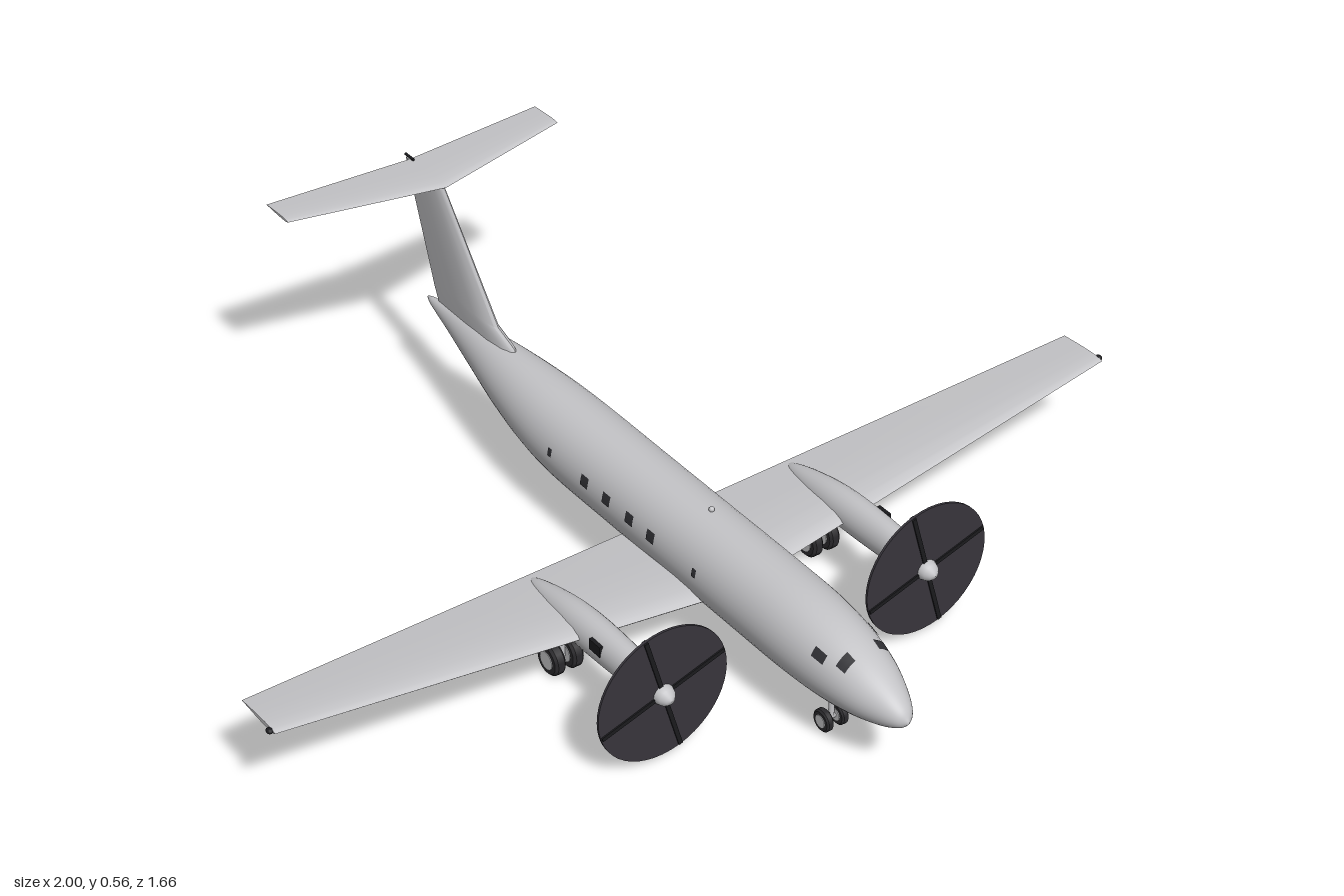
import * as THREE from 'three';
import { toCreasedNormals } from 'three/addons/utils/BufferGeometryUtils.js';

const V = (x, y, z) => new THREE.Vector3(x, y, z);
const mat = (name, color, side = THREE.FrontSide) => {
  const m = new THREE.MeshStandardMaterial({ color, side });
  m.name = name;
  return m;
};

// Closed skin over a row of equal-sized rings, with both ends capped
function loft(rings) {
  const n = rings[0].length, pos = [], idx = [];
  rings.forEach(r => r.forEach(p => pos.push(p.x, p.y, p.z)));
  for (let i = 0; i < rings.length - 1; i++) {
    for (let j = 0; j < n; j++) {
      const a = i * n + j, b = i * n + (j + 1) % n;
      idx.push(a, b, a + n, b, b + n, a + n);
    }
  }
  const last = (rings.length - 1) * n;
  for (let j = 1; j < n - 1; j++) {
    idx.push(0, j + 1, j, last, last + j, last + j + 1);
  }
  // turn the faces outward
  let vol = 0;
  const p = k => V(pos[k * 3], pos[k * 3 + 1], pos[k * 3 + 2]);
  for (let k = 0; k < idx.length; k += 3) vol += p(idx[k]).dot(p(idx[k + 1]).cross(p(idx[k + 2])));
  if (vol < 0) idx.reverse();
  const g = new THREE.BufferGeometry();
  g.setAttribute('position', new THREE.Float32BufferAttribute(pos, 3));
  g.setIndex(idx);
  g.computeVertexNormals();
  return g;
}

// Stations [z, top, bottom, half width] smoothed into many
function smoothStations(table, count) {
  const a = new THREE.CatmullRomCurve3(table.map(s => V(s[0], s[1], s[2])), false, 'catmullrom');
  const b = new THREE.CatmullRomCurve3(table.map(s => V(s[3], 0, 0)), false, 'catmullrom');
  return Array.from({ length: count + 1 }, (_, i) => {
    const p = a.getPoint(i / count);
    return [p.x, p.y, p.z, Math.max(b.getPoint(i / count).x, 0.0005)];
  });
}
const onOval = ([z, top, bot, w], a, grow = 0, x = 0) =>
  V(x + (w + grow) * Math.cos(a), (top + bot) / 2 + ((top - bot) / 2 + grow) * Math.sin(a), z);
const ovalLoft = (stations, sides, x = 0) => loft(stations.map(s =>
  Array.from({ length: sides }, (_, j) => onOval(s, j / sides * Math.PI * 2, 0, x))));

// Aerofoil outline as [chord fraction, thickness fraction]
const UPPER = [[0, 0], [0.03, 0.45], [0.12, 0.85], [0.3, 1], [0.6, 0.72], [1, 0.06]];
const FOIL = [...UPPER, ...UPPER.slice(1).reverse().map(([u, t]) => [u, -t])];
// place(chordZ, thicknessOffset, section) gives a point
const foilLoft = (sections, place) => toCreasedNormals(loft(sections.map(s =>
  FOIL.map(([u, t]) => place(s.le + (s.te - s.le) * u, t * s.h, s)))), 0.6);

export function createModel() {
  const model = new THREE.Group();
  const body = mat('bodyGrey', 0xc4c4c7);
  const rubber = mat('tyreBlack', 0x2b2a2d);
  const disc = mat('propellerDiscGrey', 0x38353c);
  const dark = mat('bladeBlack', 0x1a1a1d);
  const glass = mat('windowDark', 0x303034, THREE.DoubleSide);

  const add = (name, geo, material, x = 0, y = 0, z = 0, parent = model) => {
    const m = new THREE.Mesh(geo, material);
    m.name = name;
    m.position.set(x, y, z);
    parent.add(m);
    return m;
  };

  // Fuselage
  const hull = smoothStations([
    [0.83, 0.168, 0.162, 0.002], [0.815, 0.19, 0.146, 0.022], [0.78, 0.215, 0.13, 0.042],
    [0.72, 0.244, 0.115, 0.064], [0.64, 0.268, 0.104, 0.079], [0.54, 0.281, 0.099, 0.087],
    [0.4, 0.284, 0.098, 0.088], [0.2, 0.284, 0.098, 0.088], [0, 0.284, 0.098, 0.088],
    [-0.2, 0.284, 0.099, 0.088], [-0.32, 0.283, 0.112, 0.081], [-0.44, 0.279, 0.137, 0.064],
    [-0.56, 0.271, 0.17, 0.041], [-0.67, 0.258, 0.204, 0.02], [-0.74, 0.249, 0.228, 0.009],
    [-0.762, 0.243, 0.237, 0.002]], 75);
  add('fuselage', ovalLoft(hull, 40), body);
  const belly = add('bellyFairing', new THREE.SphereGeometry(1, 32, 16), body, 0, 0.14, 0.17);
  belly.scale.set(0.085, 0.05, 0.17);

  // Window panes that follow the skin of the fuselage
  const hullAt = z => {
    const i = Math.max(1, hull.findIndex(s => s[0] <= z));
    const k = (hull[i - 1][0] - z) / (hull[i - 1][0] - hull[i][0]);
    return hull[i].map((v, c) => THREE.MathUtils.lerp(hull[i - 1][c], v, k));
  };
  const pane = (name, z, dz, a, da) => {
    for (const side of [1, -1]) {
      const g = new THREE.PlaneGeometry(1, 1, 3, 3), p = g.attributes.position;
      for (let i = 0; i < p.count; i++) {
        const q = onOval(hullAt(z + p.getX(i) * dz), a + p.getY(i) * da, 0.0015);
        p.setXYZ(i, q.x * side, q.y, q.z);
      }
      g.computeVertexNormals();
      add(name, g, glass);
    }
  };
  for (const z of [0.15, 0.08, 0.003, -0.07]) pane('cabinWindow', z, 0.024, 0.2, 0.26);
  for (const z of [0.29, -0.19]) pane('smallCabinWindow', z, 0.012, 0.2, 0.2);
  pane('windscreenFront', 0.695, 0.022, 0.92, 0.45);
  pane('windscreenSide', 0.645, 0.03, 0.62, 0.25);

  // Wing, tip to tip
  const tip = { le: 0.25, te: 0.135, h: 0.005, y: 0.238 };
  add('wing', foilLoft([{ ...tip, x: -0.99 }, { x: 0, y: 0.132, le: 0.305, te: 0.03, h: 0.018 }, { ...tip, x: 0.99 }],
    (z, t, s) => V(s.x, s.y + t, z)), body);

  // Fin with its dorsal fillet
  add('fin', foilLoft([
    { y: 0.24, le: -0.4, te: -0.715, h: 0.016 }, { y: 0.285, le: -0.44, te: -0.735, h: 0.015 },
    { y: 0.307, le: -0.497, te: -0.742, h: 0.013 }, { y: 0.553, le: -0.685, te: -0.826, h: 0.007 }],
    (z, t, s) => V(t, s.y, z)), body);

  // Tailplane
  const end = { le: -0.752, te: -0.835, h: 0.003 };
  add('tailplane', foilLoft([{ ...end, x: -0.33 }, { x: 0, le: -0.675, te: -0.812, h: 0.006 }, { ...end, x: 0.33 }],
    (z, t, s) => V(s.x, 0.554 + t, z)), body);
  const spike = add('tailSpike', new THREE.CylinderGeometry(0.003, 0.003, 0.03, 8), dark, 0, 0.56, -0.812);
  spike.rotation.x = Math.PI / 2;
  add('roofBeacon', new THREE.SphereGeometry(0.006, 12, 8), body, 0, 0.287, 0.23);

  // Paired wheels on a strut
  const gear = (name, x, z, r, w, gap, top) => {
    const g = new THREE.Group();
    g.name = name;
    g.position.set(x, r + 0.006, z);
    model.add(g);
    const len = top - r - 0.006;
    add('strut', new THREE.CylinderGeometry(r * 0.28, r * 0.24, len, 12), body, 0, len / 2, 0, g);
    const axle = add('axle', new THREE.CylinderGeometry(r * 0.2, r * 0.2, gap * 2, 10), body, 0, 0, 0, g);
    axle.rotation.z = Math.PI / 2;
    for (const s of [1, -1]) {
      const profile = [[0, -0.5], [0.85, -0.5], [1, -0.3], [1, 0.3], [0.85, 0.5], [0, 0.5]]
        .map(([a, b]) => new THREE.Vector2(a * r, b * w));
      const tyre = add('tyre', toCreasedNormals(new THREE.LatheGeometry(profile, 24), 0.7), rubber, s * gap, 0, 0, g);
      const hub = add('wheelHub', new THREE.CylinderGeometry(r * 0.58, r * 0.58, w + 0.003, 20), body, s * gap, 0, 0, g);
      tyre.rotation.z = hub.rotation.z = Math.PI / 2;
    }
  };
  gear('noseGear', 0, 0.61, 0.024, 0.016, 0.018, 0.12);

  // Engines, propellers, main gear and tip lights on each side
  const nacelle = smoothStations([
    [0.495, 0.188, 0.148, 0.019], [0.46, 0.199, 0.135, 0.026], [0.4, 0.208, 0.127, 0.031],
    [0.3, 0.209, 0.124, 0.035], [0.22, 0.203, 0.125, 0.034], [0.15, 0.19, 0.132, 0.027],
    [0.09, 0.174, 0.142, 0.015], [0.055, 0.156, 0.15, 0.003]], 28);
  for (const s of [1, -1]) {
    const x = s * 0.315;
    add('nacelle', ovalLoft(nacelle, 28, x), body);
    add('exhaustPatch', new THREE.BoxGeometry(0.008, 0.024, 0.034), dark, x + s * 0.0315, 0.181, 0.333);

    const prop = new THREE.Group();
    prop.name = 'propeller';
    prop.position.set(x, 0.168, 0.5);
    model.add(prop);
    const d = add('propellerDisc', new THREE.CylinderGeometry(0.147, 0.147, 0.005, 48), disc, 0, 0, 0, prop);
    d.rotation.x = Math.PI / 2;
    for (const k of [0, 1]) {
      const blade = add('bladePair', new THREE.BoxGeometry(0.29, 0.009, 0.011), dark, 0, 0, 0, prop);
      blade.rotation.z = 0.28 + k * Math.PI / 2;
    }
    const cone = [[0.022, -0.008], [0.022, 0.005], [0.018, 0.017], [0.01, 0.026], [0, 0.03]]
      .map(([r, h]) => new THREE.Vector2(r, h));
    const spinner = add('spinner', new THREE.LatheGeometry(cone, 24), body, 0, 0, 0, prop);
    spinner.rotation.x = Math.PI / 2;

    gear('mainGear', x, 0.17, 0.035, 0.025, 0.021, 0.15);
    const lamp = add('wingTipLight', new THREE.SphereGeometry(0.007, 12, 8), dark, s * 0.993, 0.238, 0.236);
    lamp.scale.set(1, 0.8, 1.2);
  }
  return model;
}
